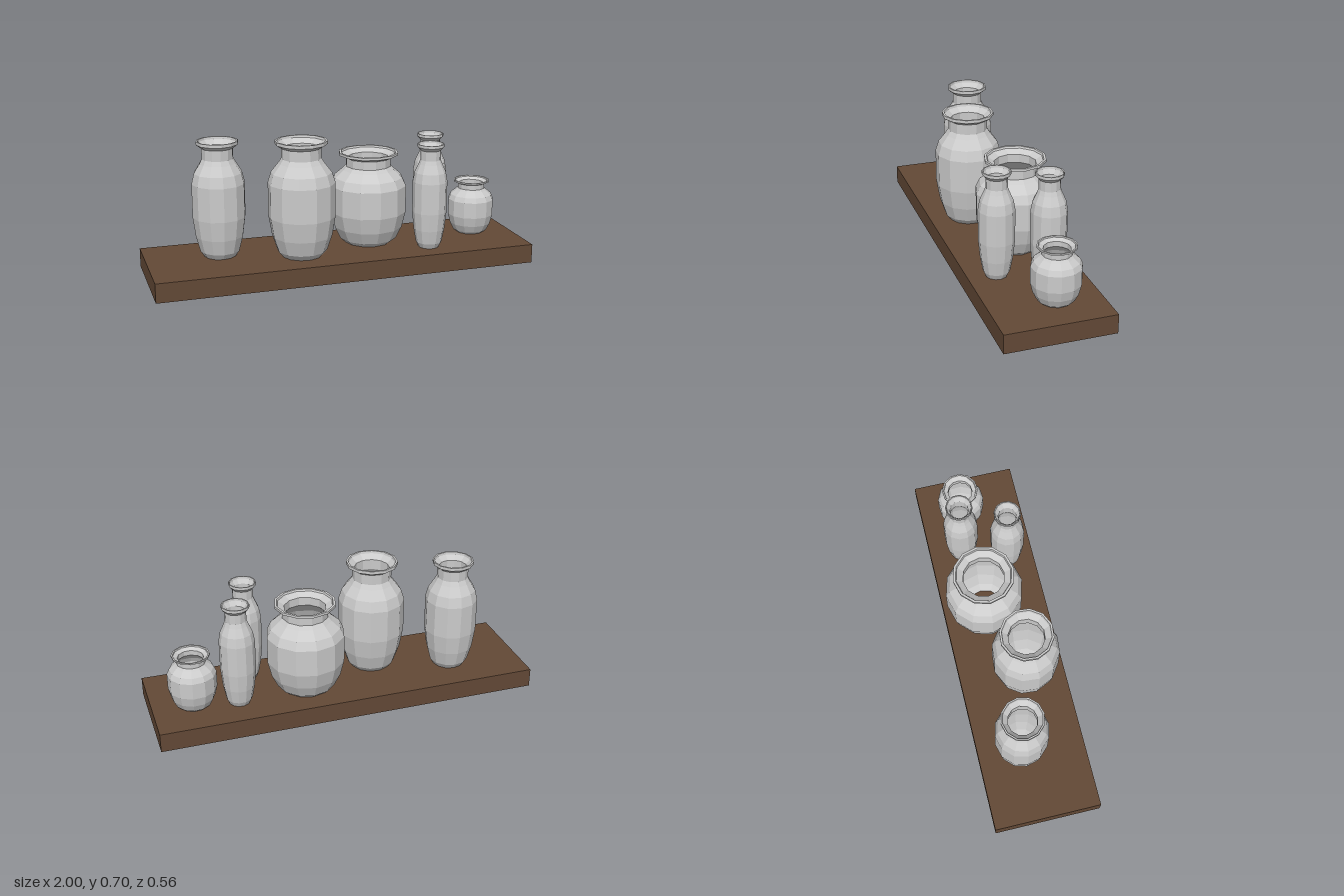
import * as THREE from 'three';

// Shared vase profile as [radius, height] fractions: outer wall up, over the lip, inner wall down
const PROFILE = [
  [0.60, 0], [0.75, 0.05], [0.90, 0.18], [1, 0.35], [1, 0.64], [0.90, 0.73],
  [0.68, 0.81], [0.59, 0.85], [0.59, 0.94], [0.78, 0.973], [0.78, 1],
  [0.72, 1], [0.70, 0.98], [0.53, 0.94], [0.53, 0.85], [0.62, 0.81],
  [0.84, 0.72], [0.94, 0.63], [0.94, 0.36], [0.84, 0.19], [0.69, 0.06], [0.54, 0],
];

const BOARD_HEIGHT = 0.1;

// name, x, z, widest radius, height, turn in degrees
const VASES = [
  ['tallVase', -0.615, -0.052, 0.137, 0.604, 0],
  ['largeVase', -0.21, 0.068, 0.173, 0.604, 10],
  ['wideVase', 0.19, -0.056, 0.203, 0.49, 0],
  ['slimFrontVase', 0.465, 0.134, 0.09, 0.555, 10],
  ['slimBackVase', 0.557, -0.099, 0.09, 0.555, 15],
  ['smallVase', 0.785, -0.052, 0.124, 0.292, 20],
];

export function createModel() {
  const model = new THREE.Group();
  model.name = 'vaseShelf';

  // Wooden board
  const board = new THREE.Mesh(
    new THREE.BoxGeometry(2, BOARD_HEIGHT, 0.56),
    new THREE.MeshStandardMaterial({ color: 0x634936 }),
  );
  board.name = 'board';
  board.position.y = BOARD_HEIGHT / 2;
  model.add(board);

  // Faceted vases, open at the mouth
  const clay = new THREE.MeshStandardMaterial({
    color: 0xcccccc, flatShading: true, side: THREE.DoubleSide,
  });
  for (const [name, x, z, radius, height, turn] of VASES) {
    const points = PROFILE.map(([r, h]) => new THREE.Vector2(r * radius, h * height));
    const vase = new THREE.Mesh(new THREE.LatheGeometry(points, 12), clay);
    vase.name = name;
    vase.position.set(x, BOARD_HEIGHT, z);
    vase.rotation.y = THREE.MathUtils.degToRad(turn);
    model.add(vase);
  }
  return model;
}
